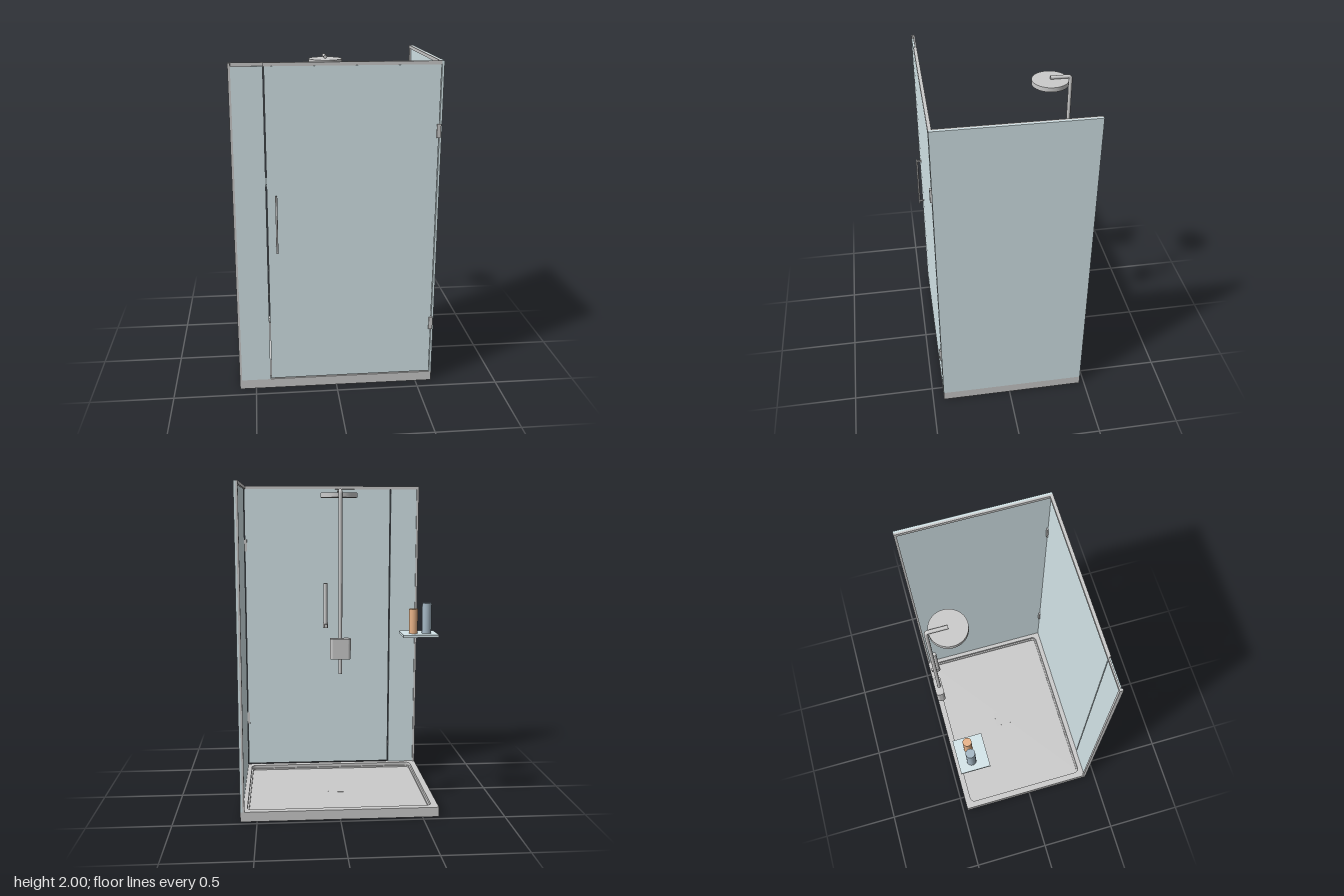
import * as THREE from 'three';

const grey = new THREE.MeshStandardMaterial({ color: 0xcccccc });
const glass = new THREE.MeshStandardMaterial({ color: 0xd5e6ea });
const blue = new THREE.MeshStandardMaterial({ color: 0xa5b8c5 });
const orange = new THREE.MeshStandardMaterial({ color: 0xeab488 });

// Rectangle with rounded corners in plan; y of the shape is -z of the model
function roundedRect(target, x0, x1, z0, z1, r) {
  const a = -z1, b = -z0;
  target.moveTo(x0 + r, a);
  target.lineTo(x1 - r, a);
  target.absarc(x1 - r, a + r, r, -Math.PI / 2, 0);
  target.lineTo(x1, b - r);
  target.absarc(x1 - r, b - r, r, 0, Math.PI / 2);
  target.lineTo(x0 + r, b);
  target.absarc(x0 + r, b - r, r, Math.PI / 2, Math.PI);
  target.lineTo(x0, a + r);
  target.absarc(x0 + r, a + r, r, Math.PI, Math.PI * 1.5);
  return target;
}

export function createModel() {
  const model = new THREE.Group();
  model.name = 'showerEnclosure';

  const add = (name, geometry, material = grey) => {
    const mesh = new THREE.Mesh(geometry, material);
    mesh.name = name;
    model.add(mesh);
    return mesh;
  };
  // Box given by its limits on each axis
  const box = (name, [x0, x1], [y0, y1], [z0, z1], material) =>
    add(name, new THREE.BoxGeometry(x1 - x0, y1 - y0, z1 - z0), material)
      .position.set((x0 + x1) / 2, (y0 + y1) / 2, (z0 + z1) / 2);
  // Upright cylinder standing at y0
  const post = (name, x, z, y0, y1, r, material, rTop = r) =>
    add(name, new THREE.CylinderGeometry(rTop, r, y1 - y0, 40), material)
      .position.set(x, (y0 + y1) / 2, z);
  // Plan shape raised from y0 to y1
  const slab = (name, shape, y0, y1) => {
    const g = new THREE.ExtrudeGeometry(shape, { depth: y1 - y0, bevelEnabled: false, curveSegments: 8 });
    add(name, g.rotateX(-Math.PI / 2).translate(0, y0, 0));
  };

  // Tray: base and a stepped rim around the sunken floor
  box('trayBase', [-0.6, 0.6], [0, 0.03], [-0.47, 0.43]);
  [[0.03, 0.04, 0.01], [0.04, 0.06, 0]].forEach(([y0, y1, inset]) => {
    const rim = new THREE.Shape([
      new THREE.Vector2(-0.6, -0.43), new THREE.Vector2(0.6, -0.43),
      new THREE.Vector2(0.6, 0.47), new THREE.Vector2(-0.6, 0.47),
    ]);
    rim.holes.push(roundedRect(new THREE.Path(), -0.56 + inset, 0.56 - inset,
      -0.43 + inset, 0.39 - inset, 0.03 - inset));
    slab('trayRim', rim, y0, y1);
  });
  box('drainCover', [-0.05, 0.05], [0.029, 0.031], [-0.09, 0.05]);

  // Glass panels
  box('sidePanel', [0.587, 0.6], [0.06, 2], [-0.47, 0.43], glass);
  box('fixedPanel', [-0.586, -0.41], [0.06, 1.98], [0.421, 0.432], glass);
  box('door', [-0.404, 0.583], [0.068, 1.98], [0.421, 0.432], glass);

  // Metal rails and wall profiles
  box('frontRail', [-0.6, 0.587], [1.98, 2], [0.412, 0.421]);
  box('doorRail', [-0.41, 0.587], [1.98, 2], [0.421, 0.431]);
  box('sideRail', [0.575, 0.587], [1.98, 2], [-0.47, 0.412]);
  box('frontWallProfile', [-0.6, -0.586], [0.06, 2], [0.412, 0.432]);
  box('backWallProfile', [0.575, 0.587], [0.06, 1.98], [-0.47, -0.455]);

  // Hinges and door handle
  for (const y of [0.4, 1.605]) box('hinge', [0.57, 0.593], [y - 0.04, y + 0.04], [0.412, 0.441]);
  post('handleBar', -0.352, 0.462, 0.9, 1.25, 0.006);
  for (const y of [0.92, 1.235]) box('handleMount', [-0.356, -0.348], [y - 0.005, y + 0.005], [0.43, 0.462]);

  // Shower column: riser bending into the arm, rain head and mixer
  const path = new THREE.CurvePath();
  const v = (y, z) => new THREE.Vector3(0, y, z);
  path.add(new THREE.LineCurve3(v(0.89, -0.44), v(1.93, -0.44)));
  path.add(new THREE.QuadraticBezierCurve3(v(1.93, -0.44), v(1.945, -0.44), v(1.945, -0.425)));
  path.add(new THREE.LineCurve3(v(1.945, -0.425), v(1.945, -0.32)));
  add('riserPipe', new THREE.TubeGeometry(path, 160, 0.011, 16));
  for (const [y, z, flip] of [[0.89, -0.44, Math.PI / 2], [1.945, -0.32, 0]]) {
    const cap = add('pipeCap', new THREE.CircleGeometry(0.011, 16));
    cap.position.set(0, y, z);
    cap.rotation.x = flip;
  }
  post('rainHead', 0, -0.32, 1.908, 1.935, 0.108);
  slab('mixer', roundedRect(new THREE.Shape(), -0.06, 0.06, -0.47, -0.42, 0.018), 0.98, 1.1);

  // Hand shower on its bracket
  post('handShower', 0.085, -0.42, 1.16, 1.42, 0.011);
  box('handShowerBracket', [0.077, 0.092], [1.165, 1.185], [-0.46, -0.42]);
  post('handShowerHolder', 0.085, -0.42, 1.16, 1.19, 0.014);

  // Corner shelf with two bottles
  box('shelf', [-0.58, -0.37], [1.1, 1.115], [-0.45, -0.27], glass);
  post('blueBottle', -0.52, -0.37, 1.115, 1.295, 0.028, blue);
  post('orangeBottle', -0.44, -0.37, 1.115, 1.26, 0.026, orange);

  // Centre the depth, since the handle stands proud of the door
  model.children.forEach((part) => { part.position.z += 0.001; });
  return model;
}
